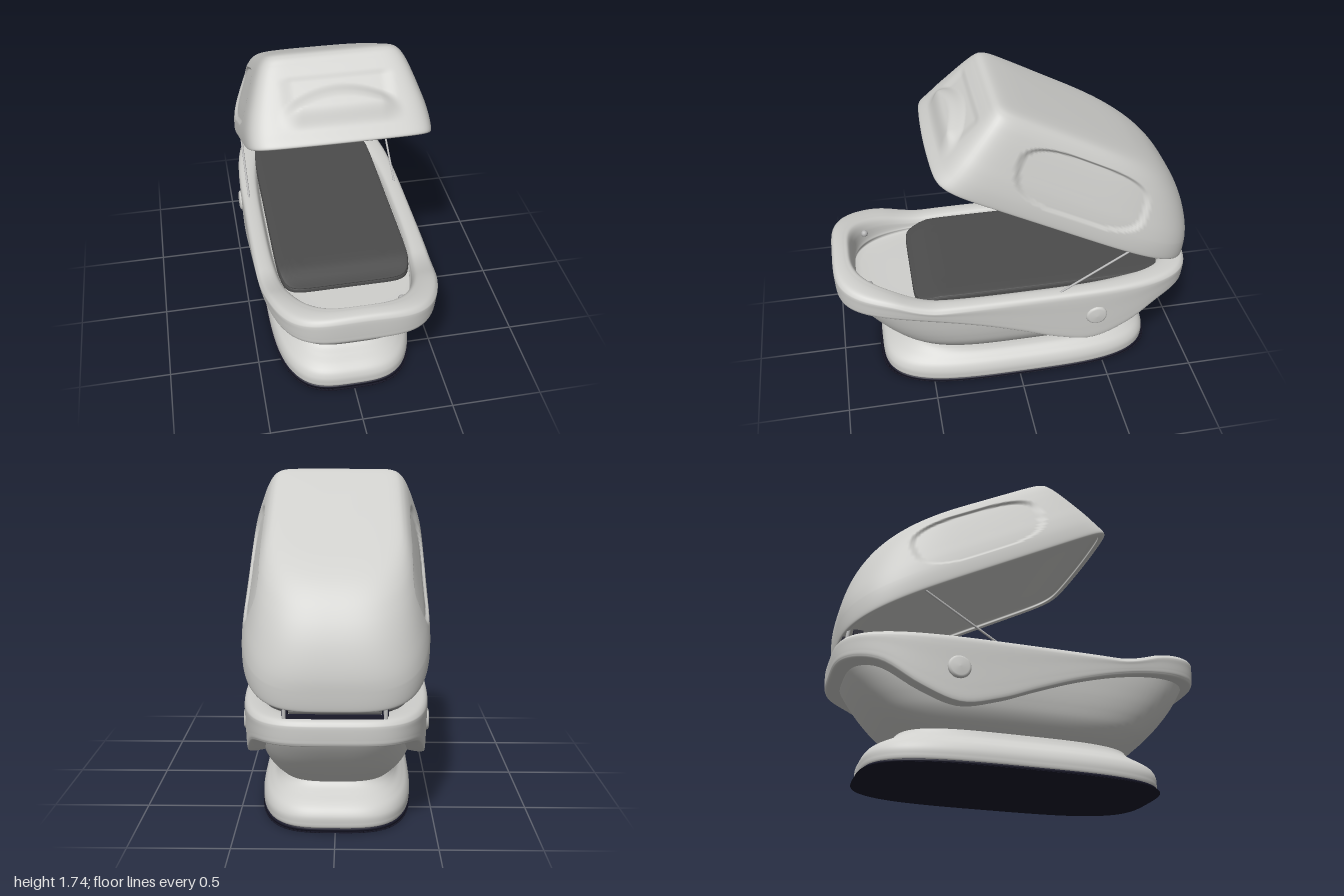
import * as THREE from 'three';
import { ParametricGeometry } from 'three/addons/geometries/ParametricGeometry.js';

const { smoothstep, clamp } = THREE.MathUtils;

const shell = new THREE.MeshStandardMaterial({ color: 0xcfcfcc });
shell.name = 'light grey shell';
const cushion = new THREE.MeshStandardMaterial({ color: 0x4c4c4c });
cushion.name = 'dark grey cushion';
const dark = new THREE.MeshStandardMaterial({ color: 0x19192a });
dark.name = 'dark navy';
const metal = new THREE.MeshStandardMaterial({ color: 0xb4b4b4 });
metal.name = 'metal grey';

// Catmull-Rom interpolation through rows of numbers, t from 0 to 1
function sample(rows, t) {
  const last = rows.length - 1;
  const f = clamp(t, 0, 1) * last;
  const i = Math.min(Math.floor(f), last - 1);
  const k = f - i;
  const [a, b, c, d] = [-1, 0, 1, 2].map((o) => rows[clamp(i + o, 0, last)]);
  return b.map((p, j) => p + 0.5 * k * (c[j] - a[j]
    + k * (2 * a[j] - 5 * p + 4 * c[j] - d[j] + k * (3 * (p - c[j]) + d[j] - a[j]))));
}

// Rounded-rectangle outline: half width, back z, front z, squareness at each end
function ring(u, hw, zb, zf, nb, nf) {
  const a = u * Math.PI * 2;
  const c = Math.cos(a), s = Math.sin(a);
  const n = s > 0 ? nb : nf;
  const r = (Math.abs(c) ** n + Math.abs(s) ** n) ** (-1 / n);
  return [hw * c * r, (zb + zf) / 2 - (zf - zb) / 2 * s * r];
}

function add(parent, name, geometry, material) {
  const mesh = new THREE.Mesh(geometry, material);
  mesh.name = name;
  parent.add(mesh);
  return mesh;
}

// Skin over stacked outlines; rows are [y, half width, back z, front z]
function loft(rows, nb, nf, slices, perRow, adjust) {
  return new ParametricGeometry((u, v, p) => {
    const [y, hw, zb, zf] = sample(rows, v);
    const [x, z] = ring(u, hw, zb, zf, nb - (adjust === shapeLid ? 2 * Math.max(y - 0.1, 0) : 0), nf);
    p.set(x, y, z);
    if (adjust) adjust(p);
  }, slices, (rows.length - 1) * perRow);
}

// Rod between two points
function rod(parent, name, a, b, radius, material) {
  const dir = b.clone().sub(a);
  const m = add(parent, name, new THREE.CylinderGeometry(radius, radius, dir.length(), 12), material);
  m.position.copy(a).addScaledVector(dir, 0.5);
  m.quaternion.setFromUnitVectors(new THREE.Vector3(0, 1, 0), dir.normalize());
}

// Lid details: bowed front edge, side recesses, and the front bulge with a grip groove above it
function shapeLid(p) {
  const { x, y, z } = p;
  const d = (Math.abs((z - 0.87 - (y - 0.235) * 0.15) / 0.415) ** 3
    + Math.abs((y - 0.235) / 0.154) ** 3) ** (1 / 3);
  if (Math.abs(x) > 0.2) p.x -= Math.sign(x) * 0.018 * (1 - smoothstep(d, 0.88, 1));
  p.z -= 0.03 * (x / 0.48) ** 2 * smoothstep(z, 0.9, 1.6) * (1 - smoothstep(y, 0, 0.45));
  if (z > 1.3 && y > 0.03) {
    const arc = 0.275 - 0.085 * (x / 0.28) ** 2;
    const bulge = smoothstep(y, 0.07, 0.19) * (1 - smoothstep(y, arc - 0.06, arc + 0.02))
      * (1 - smoothstep(Math.abs(x), 0.2, 0.32));
    const groove = smoothstep(y, arc - 0.03, arc + 0.02) * (1 - smoothstep(y, 0.31, 0.35))
      * (1 - smoothstep(Math.abs(x), 0.22, 0.3));
    const out = 0.038 * bulge - 0.008 * groove;
    p.z += out * 0.94;
    p.y += out * 0.34;
  }
}

export function createModel() {
  const model = new THREE.Group();
  model.name = 'spaCapsule';

  // Pedestal and its dark sole
  add(model, 'sole', loft([
    [0, 0.0005, -0.021, -0.02], [0, 0.2, -0.42, 0.38], [0, 0.385, -0.795, 0.755],
    [0.004, 0.399, -0.809, 0.769], [0.016, 0.399, -0.809, 0.769], [0.02, 0.38, -0.79, 0.75],
  ], 3.5, 3.4, 128, 3), dark);
  add(model, 'pedestal', loft([
    [0.014, 0.36, -0.77, 0.73], [0.017, 0.395, -0.805, 0.765], [0.05, 0.401, -0.811, 0.77],
    [0.08, 0.398, -0.808, 0.767], [0.11, 0.385, -0.79, 0.752], [0.135, 0.362, -0.758, 0.72],
    [0.16, 0.338, -0.71, 0.67], [0.18, 0.327, -0.675, 0.63], [0.2, 0.32, -0.655, 0.61],
    [0.215, 0.315, -0.65, 0.605],
  ], 3.5, 3.4, 128, 3), shell);

  // Lower hull
  add(model, 'hull', loft([
    [0.195, 0.31, -0.645, 0.6], [0.21, 0.328, -0.66, 0.615], [0.25, 0.362, -0.705, 0.658],
    [0.3, 0.39, -0.757, 0.715], [0.36, 0.408, -0.812, 0.775], [0.42, 0.42, -0.86, 0.828],
    [0.48, 0.428, -0.902, 0.875], [0.54, 0.434, -0.936, 0.915], [0.61, 0.438, -0.96, 0.955],
  ], 3.4, 3.4, 128, 4), shell);

  // Wavy side skirt, rolled rim, inner wall and tub floor in one skin
  const hem = [0.51, 0.475, 0.355, 0.285, 0.325, 0.4, 0.47, 0.525, 0.565, 0.59, 0.6].map((y) => [y]);
  // [half width, half length, share of hem, share of rim top, height offset, squareness]
  const skirt = [
    [0.35, 0.87, 1, 0, 0.02, 3.6], [0.42, 0.94, 1, 0, 0.004, 3.8], [0.458, 0.983, 1, 0, 0.002, 4],
    [0.47, 0.995, 1, 0, 0.015, 4], [0.474, 0.998, 0.8, 0.2, 0.012, 4], [0.477, 1, 0.45, 0.55, 0, 4],
    [0.48, 1, 0.12, 0.88, -0.018, 4], [0.477, 0.997, 0, 1, -0.022, 4], [0.465, 0.985, 0, 1, -0.006, 3.9],
    [0.445, 0.965, 0, 1, 0, 3.7], [0.415, 0.93, 0, 1, 0, 3.4], [0.393, 0.905, 0, 1, -0.008, 3.2],
    [0.381, 0.89, 0, 0.8, 0.1, 3.1], [0.374, 0.878, 0, 0.2, 0.462, 3.1], [0.35, 0.85, 0, 0, 0.575, 3.1],
    [0.18, 0.45, 0, 0, 0.575, 3], [0.0005, 0.001, 0, 0, 0.575, 3],
  ];
  add(model, 'skirtAndRim', new ParametricGeometry((u, v, p) => {
    const [hw, half, wb, wt, off, n] = sample(skirt, v);
    const [x, z] = ring(u, hw, -half, half, n, n);
    const top = 0.64 + 0.13 * smoothstep(z, 0.44, 0.95)
      - 0.04 * (x / 0.42) ** 2 * smoothstep(z, 0.65, 0.95);
    p.set(x, wb * sample(hem, (z + 1) / 2)[0] + wt * top + off, z);
  }, 192, (skirt.length - 1) * 4), shell);

  // Mattress, sloping down at its foot end
  add(model, 'mattress', loft([
    [0.57, 0.36, -0.81, 0.57], [0.61, 0.365, -0.815, 0.575], [0.63, 0.362, -0.812, 0.572],
    [0.638, 0.35, -0.8, 0.56], [0.64, 0.28, -0.66, 0.43], [0.64, 0.14, -0.4, 0.16],
    [0.64, 0.0005, -0.121, -0.12],
  ], 8, 9, 128, 4, (p) => {
    if (p.y > 0.6) p.y -= 0.035 * smoothstep(p.z, 0.42, 0.57);
  }), cushion);

  // Lid, built level and then tipped open about its back edge
  const lid = new THREE.Group();
  lid.name = 'lid';
  lid.position.set(0, 0.67, -0.97);
  lid.rotation.x = -0.488;
  model.add(lid);
  add(lid, 'lidShell', loft([
    [0.03, 0.0005, 0.809, 0.811], [0.03, 0.22, 0.42, 1.2], [0.03, 0.425, 0.06, 1.55],
    [0.006, 0.45, 0.03, 1.582], [0, 0.468, 0.01, 1.605], [0.015, 0.478, 0.004, 1.617],
    [0.08, 0.476, 0.03, 1.592], [0.15, 0.463, 0.066, 1.567], [0.22, 0.443, 0.118, 1.541],
    [0.29, 0.421, 0.185, 1.516], [0.35, 0.4, 0.26, 1.495], [0.4, 0.378, 0.345, 1.477],
    [0.435, 0.352, 0.44, 1.46], [0.454, 0.318, 0.55, 1.425], [0.462, 0.25, 0.67, 1.34],
    [0.465, 0.12, 0.88, 1.2], [0.466, 0.0005, 1.05, 1.051],
  ], 3.7, 11, 256, 8, shapeLid), shell);

  // Hinge bar across the back, under the lid edge
  const bar = add(model, 'hingeBar', new THREE.BoxGeometry(0.46, 0.018, 0.02), dark);
  bar.position.set(0, 0.65, -0.955);

  for (const side of [1, -1]) {
    // Gas struts
    rod(model, 'strut', new THREE.Vector3(side * 0.44, 0.63, -0.2),
      new THREE.Vector3(side * 0.44, 0.885, -0.61), 0.006, metal);
    // Hinge posts and brackets
    rod(model, 'hingePost', new THREE.Vector3(side * 0.24, 0.63, -0.945),
      new THREE.Vector3(side * 0.24, 0.71, -0.935), 0.01, metal);
    const bracket = add(model, 'hingeBracket', new THREE.BoxGeometry(0.03, 0.06, 0.05), dark);
    bracket.position.set(side * 0.24, 0.665, -0.89);
    // Round side caps
    const cap = add(model, 'sideCap', new THREE.LatheGeometry([
      [0.06, 0], [0.06, 0.014], [0.056, 0.022], [0.046, 0.027], [0, 0.03],
    ].map(([r, y]) => new THREE.Vector2(r, y)), 40), shell);
    cap.position.set(side * 0.46, 0.465, -0.415);
    cap.rotation.z = -side * Math.PI / 2;
    // Small knobs on the inner wall at the foot end
    const knob = add(model, 'wallKnob', new THREE.SphereGeometry(0.02, 16, 12), metal);
    knob.position.set(side * 0.23, 0.675, 0.81);
  }
  return model;
}
